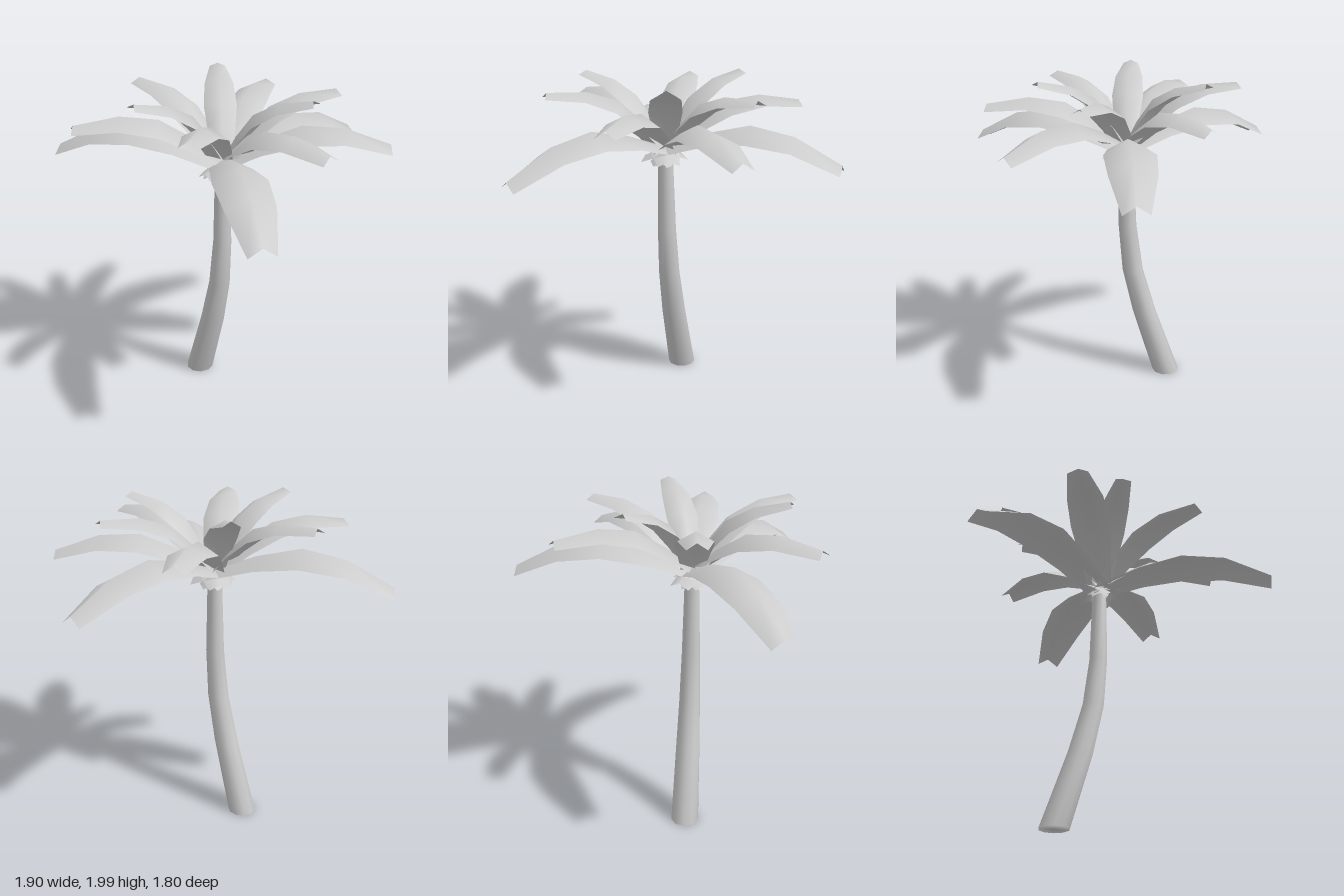
import * as THREE from 'three';

const CROWN = new THREE.Vector3(0, 1.56, 0.155);

// Surface through rows of points that all have the same count
function loft(rows, closed = false) {
  const n = rows[0].length, pos = rows.flat(2), idx = [];
  for (let i = 0; i < rows.length - 1; i++) {
    for (let j = 0; j < (closed ? n : n - 1); j++) {
      const k = (j + 1) % n;
      const a = i * n + j, b = i * n + k, c = a + n, d = b + n;
      idx.push(a, c, b, b, c, d);
    }
  }
  const g = new THREE.BufferGeometry();
  g.setAttribute('position', new THREE.Float32BufferAttribute(pos, 3));
  g.setIndex(idx);
  g.computeVertexNormals();
  return g;
}

export function createModel() {
  const tree = new THREE.Group();
  tree.name = 'palmTree';
  const bark = new THREE.MeshStandardMaterial({ color: 0xcccccc });
  const leafMat = new THREE.MeshStandardMaterial({ color: 0xcccccc, side: THREE.DoubleSide });

  // Curved tapering trunk with closed ends: [y, centre x, radius]
  const sides = 10;
  const rings = [
    [0, -0.273, 0], [0, -0.273, 0.087], [0.45, -0.125, 0.075], [0.75, -0.048, 0.065],
    [1.05, -0.015, 0.056], [1.55, -0.005, 0.043], [1.55, -0.005, 0],
  ].map(([y, cx, r]) => Array.from({ length: sides }, (_, i) => {
    const a = i / sides * Math.PI * 2;
    return [cx + Math.cos(a) * r, y, CROWN.z + Math.sin(a) * r];
  }));
  const trunk = new THREE.Mesh(loft(rings, true), bark);
  trunk.name = 'trunk';
  tree.add(trunk);

  // Arched frond along +x, its base reaching past the crown centre:
  // [reach, ridge height, half width, drop of the edges]
  const frond = loft([
    [-0.13, -0.045, 0.065, 0.03], [0, 0.015, 0.085, 0.042], [0.26, 0.115, 0.118, 0.062],
    [0.52, 0.178, 0.147, 0.085], [0.78, 0.13, 0.13, 0.07], [1.055, -0.012, 0.072, 0.048],
  ].map(([x, y, w, d]) => [[x, y - d, w], [x, y, 0], [x, y - d, -w]]));

  // Tiers of fronds, the upper ones shorter and steeper; headings turn from +x to +z
  const tiers = [
    { name: 'lowFrond', headings: [30, 150, -90], tilt: 0, scale: 1 },
    { name: 'wideFrond', headings: [-45], tilt: 8.5, scale: 0.9 },
    { name: 'middleFrond', headings: [0, 120, -120], tilt: 19, scale: 0.815 },
    { name: 'upperFrond', headings: [53, 173, -67], tilt: 29, scale: 0.735 },
    { name: 'topFrond', headings: [97, -22, -143], tilt: 39.5, scale: 0.655 },
  ];
  for (const { name, headings, tilt, scale } of tiers) {
    for (const heading of headings) {
      const mesh = new THREE.Mesh(frond, leafMat);
      mesh.name = name;
      mesh.rotation.order = 'YZX';
      mesh.rotation.y = -THREE.MathUtils.degToRad(heading);
      mesh.rotation.z = THREE.MathUtils.degToRad(tilt);
      mesh.scale.setScalar(scale);
      mesh.position.copy(CROWN);
      tree.add(mesh);
    }
  }

  return tree;
}
